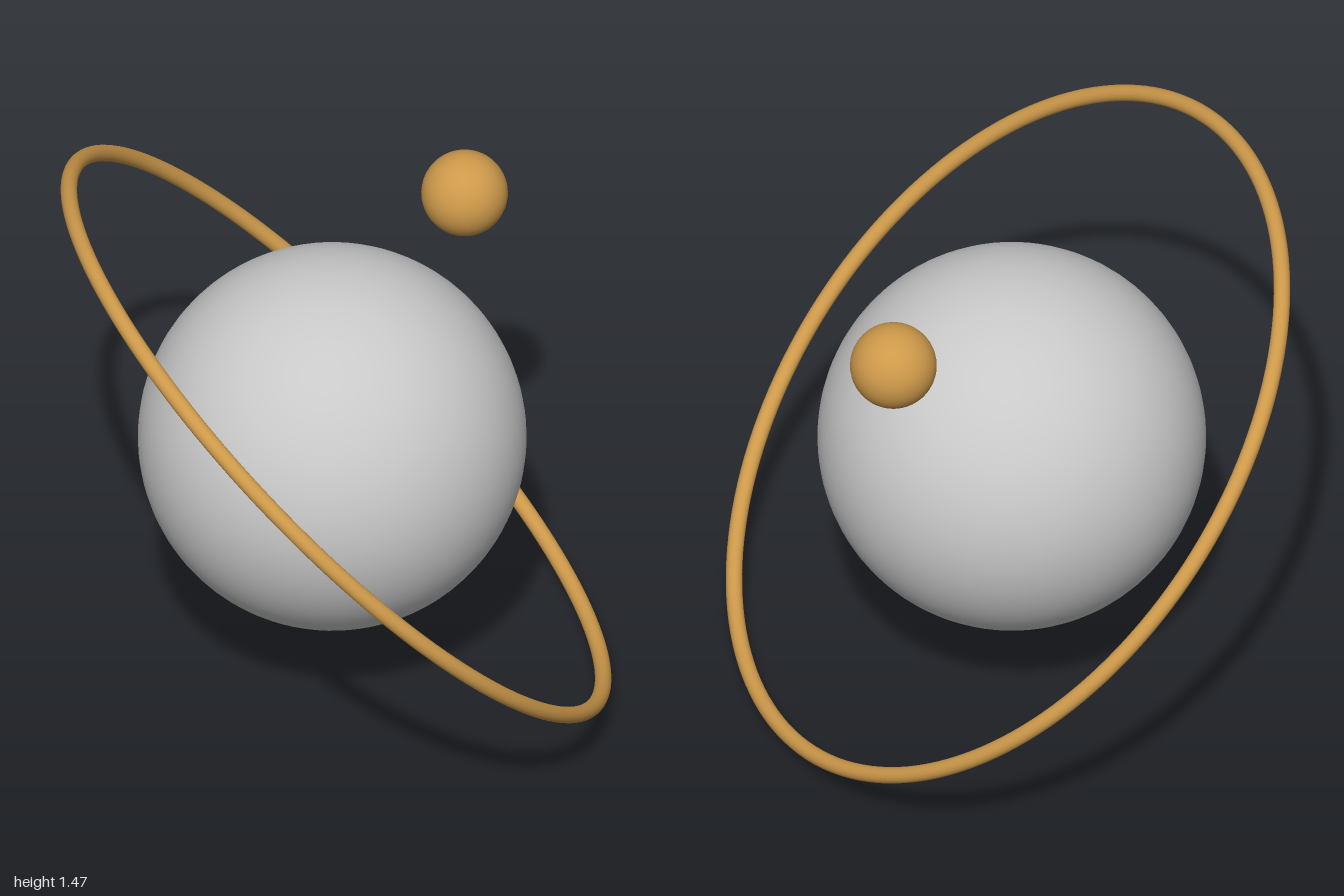
import * as THREE from 'three';

export function createModel() {
  const model = new THREE.Group();
  const silver = new THREE.MeshStandardMaterial({ color: 0xc8c8c8 });
  silver.name = 'silver grey';
  const gold = new THREE.MeshStandardMaterial({ color: 0xcd994a });
  gold.name = 'gold';

  const add = (name, geometry, material, x, y, z) => {
    const mesh = new THREE.Mesh(geometry, material);
    mesh.name = name;
    mesh.position.set(x, y, z);
    model.add(mesh);
    return mesh;
  };

  // Large central ball and its small companion
  add('planet', new THREE.SphereGeometry(0.515, 64, 48), silver, -0.01, 0.73, 0);
  add('moon', new THREE.SphereGeometry(0.115, 40, 28), gold, 0.325, 1.265, -0.375);

  // Thin orbit ring, its axis tilted up, sideways and slightly back
  const ring = add('orbitRing', new THREE.TorusGeometry(0.993, 0.022, 20, 160), gold, 0, 0.738, 0);
  const axis = new THREE.Vector3(0.694, 0.694, -0.19).normalize();
  ring.quaternion.setFromUnitVectors(new THREE.Vector3(0, 0, 1), axis);

  return model;
}
